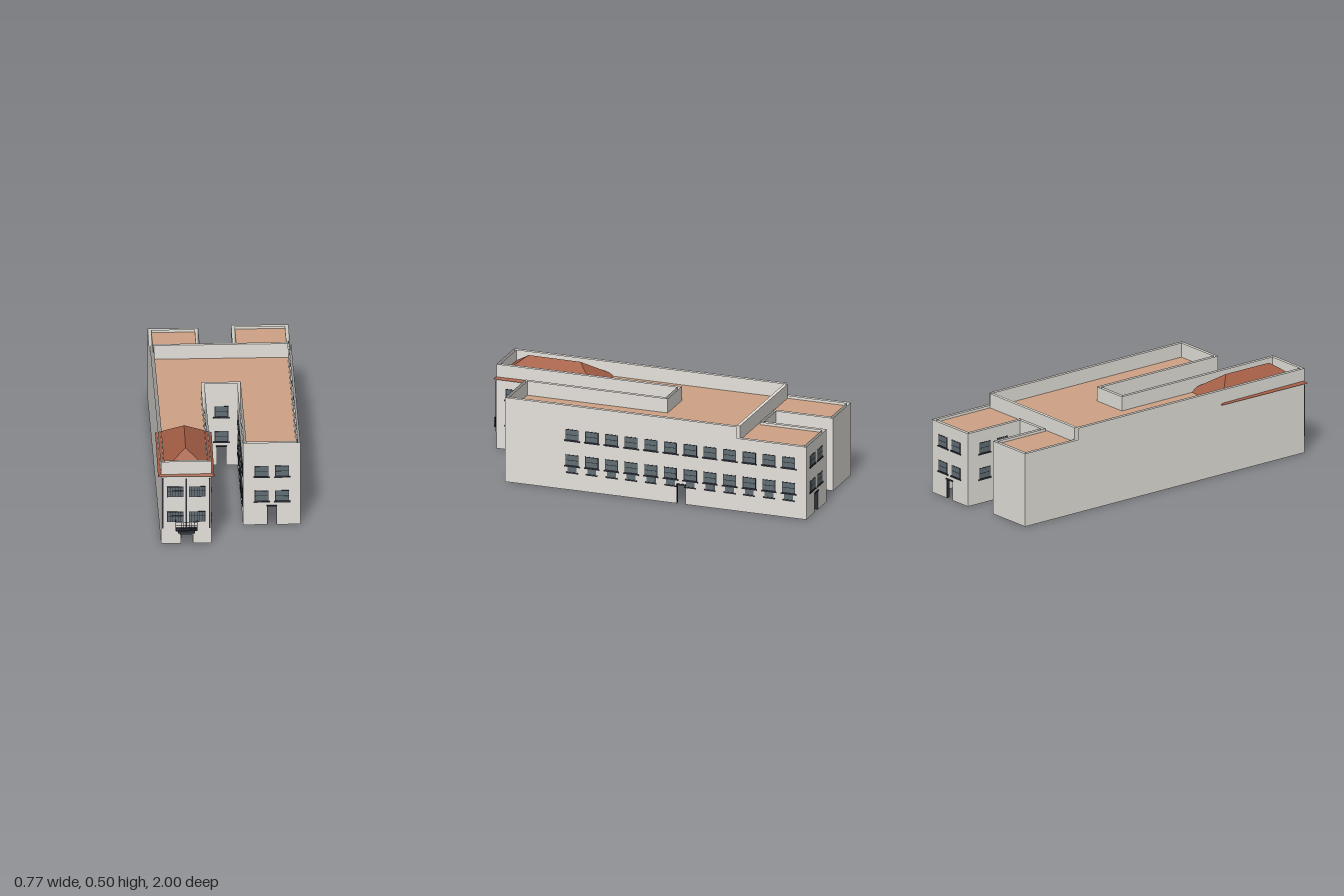
import * as THREE from 'three';
import { ConvexGeometry } from 'three/addons/geometries/ConvexGeometry.js';

const mat = (name, color, side = THREE.FrontSide) => {
  const m = new THREE.MeshStandardMaterial({ color, side });
  m.name = name;
  return m;
};

export function createModel() {
  const plaster = mat('plaster', 0xe6e3dd, THREE.DoubleSide);
  const roofTan = mat('roofTan', 0xcfa385);
  const terracotta = mat('terracotta', 0xa45e45);
  const dark = mat('darkTrim', 0x2d2e37);
  const glass = mat('slateGlass', 0x626f76);

  const root = new THREE.Group();
  root.name = 'courtyardBuilding';
  const model = new THREE.Group();
  model.name = 'building';
  model.rotation.y = 0.011; // the plan stands very slightly turned
  root.add(model);
  const T = 0.018, TALL = 0.475, LOW = 0.41, ROOF = 0.395, STEP = -0.6;

  const add = (parent, name, geo, m, x = 0, y = 0, z = 0) => {
    const mesh = new THREE.Mesh(geo, m);
    mesh.name = name;
    mesh.position.set(x, y, z);
    parent.add(mesh);
  };
  const box = (parent, name, m, w, h, d, x, y, z) =>
    add(parent, name, new THREE.BoxGeometry(w, h, d), m, x, y, z);

  // Footprint (x, z): two long wings joined by a cross block
  const plan = [
    [-0.374, 0.95], [-0.105, 0.95], [-0.105, -0.08], [0.071, -0.08], [0.071, 0.718], [0.376, 0.718],
    [0.376, STEP], [0.376, -0.995], [0.071, -0.995], [0.071, -0.64], [-0.105, -0.64],
    [-0.105, -0.965], [-0.374, -0.965], [-0.374, STEP],
  ];
  const n = plan.length;
  const along = (i) => {
    const a = plan[(i + n) % n], b = plan[(i + 1) % n];
    return [Math.sign(b[0] - a[0]), Math.sign(b[1] - a[1])];
  };
  // Inner face of the walls, one wall thickness inside
  const inner = plan.map((p, i) => {
    const [ux, uz] = along(i - 1), [vx, vz] = along(i);
    const same = ux === vx && uz === vz;
    return [p[0] + T * (same ? uz : uz + vz), p[1] - T * (same ? ux : ux + vx)];
  });

  // Wall sheet from u0 to u1 with door openings cut up from the ground
  const wallSheet = (u0, u1, h, doors) => {
    const s = new THREE.Shape().moveTo(u0, 0);
    for (const [u, w, dh] of doors)
      s.lineTo(u - w / 2, 0).lineTo(u - w / 2, dh).lineTo(u + w / 2, dh).lineTo(u + w / 2, 0);
    s.lineTo(u1, 0).lineTo(u1, h).lineTo(u0, h);
    return new THREE.ShapeGeometry(s);
  };

  // One facade per wall: local x runs along it, local z points outward
  const doorway = [0.05, 0.105];
  const doors = {
    0: [[0.137, 0.064, 0.06]], 1: [[0.565, ...doorway]], 2: [[0.091, ...doorway]], 3: [[0.4, ...doorway]],
    4: [[0.153, ...doorway]], 5: [[1.001, ...doorway]], 7: [[0.15, ...doorway]], 9: [[0.086, ...doorway]],
  };
  const facades = plan.map((a, i) => {
    const b = plan[(i + 1) % n], [dx, dz] = along(i);
    const f = new THREE.Group();
    f.name = 'facade' + (i + 1);
    f.position.set(a[0], 0, a[1]);
    f.rotation.y = Math.atan2(-dz, dx);
    model.add(f);
    const dist = (p) => (p[0] - a[0]) * dx + (p[1] - a[1]) * dz;
    const h = (a[1] + b[1]) / 2 < STEP ? LOW : TALL;
    const cuts = doors[i] || [];
    add(f, 'outerWall', wallSheet(0, dist(b), h, cuts), plaster);
    add(f, 'innerWall', wallSheet(dist(inner[i]), dist(inner[(i + 1) % n]), h, cuts), plaster, 0, 0, -T);
    return f;
  });

  // Flat roof, ceiling and the parapet at the change of height
  const points = (s) => inner.map(([x, z]) => new THREE.Vector2(x, s * z));
  add(model, 'flatRoof', new THREE.ShapeGeometry(new THREE.Shape(points(-1))).rotateX(-Math.PI / 2),
    roofTan, 0, ROOF, 0);
  add(model, 'ceiling', new THREE.ShapeGeometry(new THREE.Shape(points(1))).rotateX(Math.PI / 2),
    plaster, 0, ROOF - 0.006, 0);
  box(model, 'stepParapet', plaster, 0.75 - 2 * T, TALL - ROOF, T, 0.001, (TALL + ROOF) / 2, STEP - 0.002);

  // Hipped tile roof over the front of one wing
  const hip = [[-0.38, 0.38], [-0.08, 0.38], [-0.38, 0.965], [-0.08, 0.965]]
    .map(([x, z]) => new THREE.Vector3(x, 0.393, z));
  hip.push(new THREE.Vector3(-0.23, 0.498, 0.525), new THREE.Vector3(-0.23, 0.498, 0.82));
  add(root, 'hippedRoof', new ConvexGeometry(hip), terracotta);

  // Two-pane window with sill and a plaster reveal inside the wall
  const windowAt = (f, u, y) => {
    box(f, 'windowReveal', plaster, 0.074, 0.062, T - 0.003, u, y + 0.031, -T / 2);
    box(f, 'windowFrame', dark, 0.074, 0.062, 0.002, u, y + 0.031, 0.0005);
    [0.018, 0.046].forEach((dy) => box(f, 'windowPane', glass, 0.066, 0.025, 0.003, u, y + dy, 0.001));
    box(f, 'windowSill', dark, 0.088, 0.007, 0.005, u, y - 0.003, 0.002);
  };
  const windowColumn = (f, u, cellar) => {
    windowAt(f, u, 0.279);
    windowAt(f, u, 0.136);
    if (!cellar) return;
    box(f, 'cellarWindow', glass, 0.05, 0.03, 0.002, u, 0.115, 0.0005);
    box(f, 'cellarSill', dark, 0.066, 0.007, 0.005, u, 0.097, 0.002);
  };
  const windowRow = (i, first, step, count, cellar) => {
    for (let k = 0; k < count; k++) windowColumn(facades[i], first + k * step, cellar);
  };
  windowRow(1, 0.09, 0.107, 9, true);
  windowRow(2, 0.091, 0, 1, false);
  windowRow(3, 0.09, 0.107, 7, true);
  windowRow(4, 0.099, 0.109, 2, false);
  windowRow(5, 0.381, 0.112, 9, true);
  windowRow(6, 0.071, 0.112, 3, true);
  windowRow(7, 0.095, 0.108, 2, false);
  windowRow(8, 0.115, 0.12, 2, false);
  windowRow(9, 0.086, 0, 1, false);
  windowRow(10, 0.11, 0.12, 2, false);

  // Doorways: dark jambs and lintel, with a leaf facing the rooms
  const leaf = (f, name, m, w, h, u, y, z) =>
    add(f, name, new THREE.PlaneGeometry(w, h).rotateY(Math.PI), m, u, y, z);
  for (const i of [1, 2, 3, 4, 5, 7, 9]) {
    const f = facades[i], [u, w, h] = doors[i][0];
    for (const s of [-1, 1]) box(f, 'doorJamb', dark, 0.002, h, T, u + s * w / 2, h / 2, -T / 2);
    box(f, 'doorLintel', dark, 0.056, 0.007, 0.005, u, 0.109, 0.002);
    leaf(f, 'doorLeaf', glass, w, h, u, h / 2, -T);
  }

  // Decorated end of the hipped wing
  const main = new THREE.Group();
  main.name = 'mainFacadeDetails';
  main.position.x = 0.134;
  facades[0].add(main);
  for (const s of [-1, 1]) {
    for (const y of [0.125, 0.27]) {
      const u = s * 0.0575;
      box(main, 'grilleFrame', dark, 0.088, 0.06, 0.003, u, y + 0.03, 0.001);
      box(main, 'grillePane', glass, 0.081, 0.053, 0.004, u, y + 0.03, 0.001);
      for (let k = -2; k <= 2; k++) box(main, 'grilleBar', dark, 0.0025, 0.056, 0.003, u + k * 0.014, y + 0.03, 0.004);
      box(main, 'grilleRail', dark, 0.084, 0.003, 0.003, u, y + 0.036, 0.004);
    }
  }
  [-0.125, 0, 0.125].forEach((u) => box(main, 'drainPipe', dark, 0.006, 0.288, 0.006, u, 0.234, 0.004));

  // Low front door, its tiled-red leaf facing the room
  box(main, 'frontDoorEdge', terracotta, 0.003, 0.03, 0.004, -0.026, 0.04, -T);
  leaf(main, 'frontDoorLeaf', terracotta, 0.064, 0.06, 0.003, 0.03, -T);
  leaf(main, 'frontDoorPane', glass, 0.04, 0.04, 0.003, 0.03, -T - 0.002);

  // Stepped balcony with open railing
  box(main, 'balconyCorbel', glass, 0.065, 0.013, 0.02, 0, 0.0655, 0.01);
  box(main, 'balconyBracket', dark, 0.088, 0.018, 0.035, 0, 0.081, 0.0175);
  box(main, 'balconySlab', dark, 0.114, 0.004, 0.044, 0, 0.091, 0.022);
  const R = 0.002;
  for (const y of [0.103, 0.121, 0.139]) {
    box(main, 'frontRail', dark, 0.116, R, R, 0, y, 0.043);
    for (const s of [-1, 1]) box(main, 'sideRail', dark, R, R, 0.043, s * 0.057, y, 0.0215);
  }
  for (let k = -4; k <= 4; k++) box(main, 'frontBaluster', dark, R, 0.048, R, k * 0.01425, 0.115, 0.043);
  return root;
}
